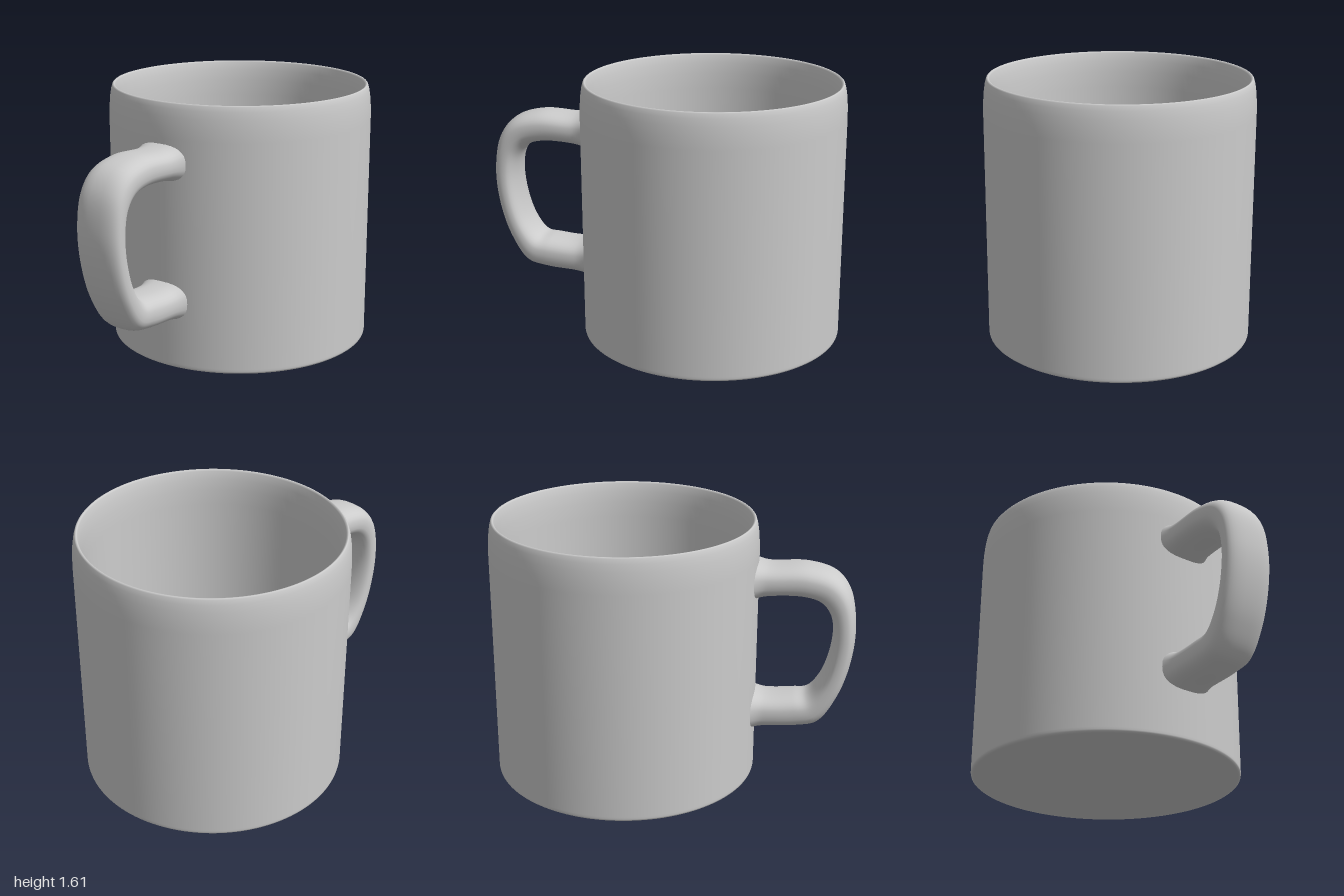
import * as THREE from 'three';

const material = new THREE.MeshStandardMaterial({ color: 0xcccccc, side: THREE.DoubleSide });

// Closed cup: outside, rim, inner wall and floor in one turned profile
function makeCup() {
  const profile = [
    [0, 0], [0.793, 0], [0.8, 0.001], [0.808, 0.007], [0.81, 0.016], [0.81, 0.03],
    [0.81, 0.7], [0.81, 1.4], [0.808, 1.47], [0.803, 1.53], [0.796, 1.575], [0.788, 1.603], [0.782, 1.61],
    [0.775, 1.609], [0.768, 1.6], [0.757, 1.55], [0.75, 1.48], [0.747, 1.38],
    [0.746, 0.7], [0.745, 0.13], [0.74, 0.11], [0.725, 0.1], [0.7, 0.098], [0, 0.098],
  ].map(([r, y]) => new THREE.Vector2(r, y));
  const cup = new THREE.Mesh(new THREE.LatheGeometry(profile, 128), material);
  cup.name = 'cup';
  return cup;
}

// Handle: rounded sections swept between an outer and an inner edge curve
function makeHandle() {
  const edge = (points) => new THREE.CatmullRomCurve3(points.map(([r, y]) => new THREE.Vector3(r, y, 0)));
  const outer = edge([
    [0.77, 1.38], [0.87, 1.355], [1.1, 1.36], [1.27, 1.31], [1.36, 1.2], [1.4, 0.98],
    [1.38, 0.75], [1.31, 0.53], [1.2, 0.365], [1.07, 0.33], [0.87, 0.315], [0.77, 0.295],
  ]);
  const inner = edge([
    [0.77, 1.14], [0.87, 1.165], [1.08, 1.17], [1.18, 1.14], [1.24, 1.07], [1.265, 0.95],
    [1.245, 0.77], [1.19, 0.62], [1.12, 0.54], [1.04, 0.53], [0.87, 0.52], [0.77, 0.545],
  ]);
  const steps = 88, sides = 32, positions = [], index = [];
  const round = (v) => Math.sign(v) * Math.abs(v) ** 0.78;
  for (let i = 0; i <= steps; i++) {
    const a = outer.getPoint(i / steps), b = inner.getPoint(i / steps);
    const centre = a.clone().add(b).multiplyScalar(0.5);
    const half = a.sub(b).multiplyScalar(0.5);
    // slight flare where the arms meet the cup
    const width = 0.155 + 0.03 * Math.max(0, (0.87 - centre.x) / 0.1) ** 2;
    for (let j = 0; j < sides; j++) {
      const angle = (j / sides) * Math.PI * 2;
      const p = centre.clone().addScaledVector(half, round(Math.cos(angle)));
      positions.push(p.x, p.y, width * round(Math.sin(angle)));
      if (i < steps) {
        const k = i * sides + j, next = i * sides + ((j + 1) % sides);
        index.push(k, next, k + sides, next, next + sides, k + sides);
      }
    }
  }
  const geometry = new THREE.BufferGeometry();
  geometry.setAttribute('position', new THREE.Float32BufferAttribute(positions, 3));
  geometry.setIndex(index);
  geometry.computeVertexNormals();
  const handle = new THREE.Mesh(geometry, material);
  handle.name = 'handle';
  handle.rotation.y = Math.atan2(-0.813, -0.583);
  return handle;
}

export function createModel() {
  const mug = new THREE.Group();
  mug.name = 'mug';
  mug.add(makeCup(), makeHandle());
  mug.position.set(0.045, 0, -0.19);
  const model = new THREE.Group();
  model.add(mug);
  return model;
}
